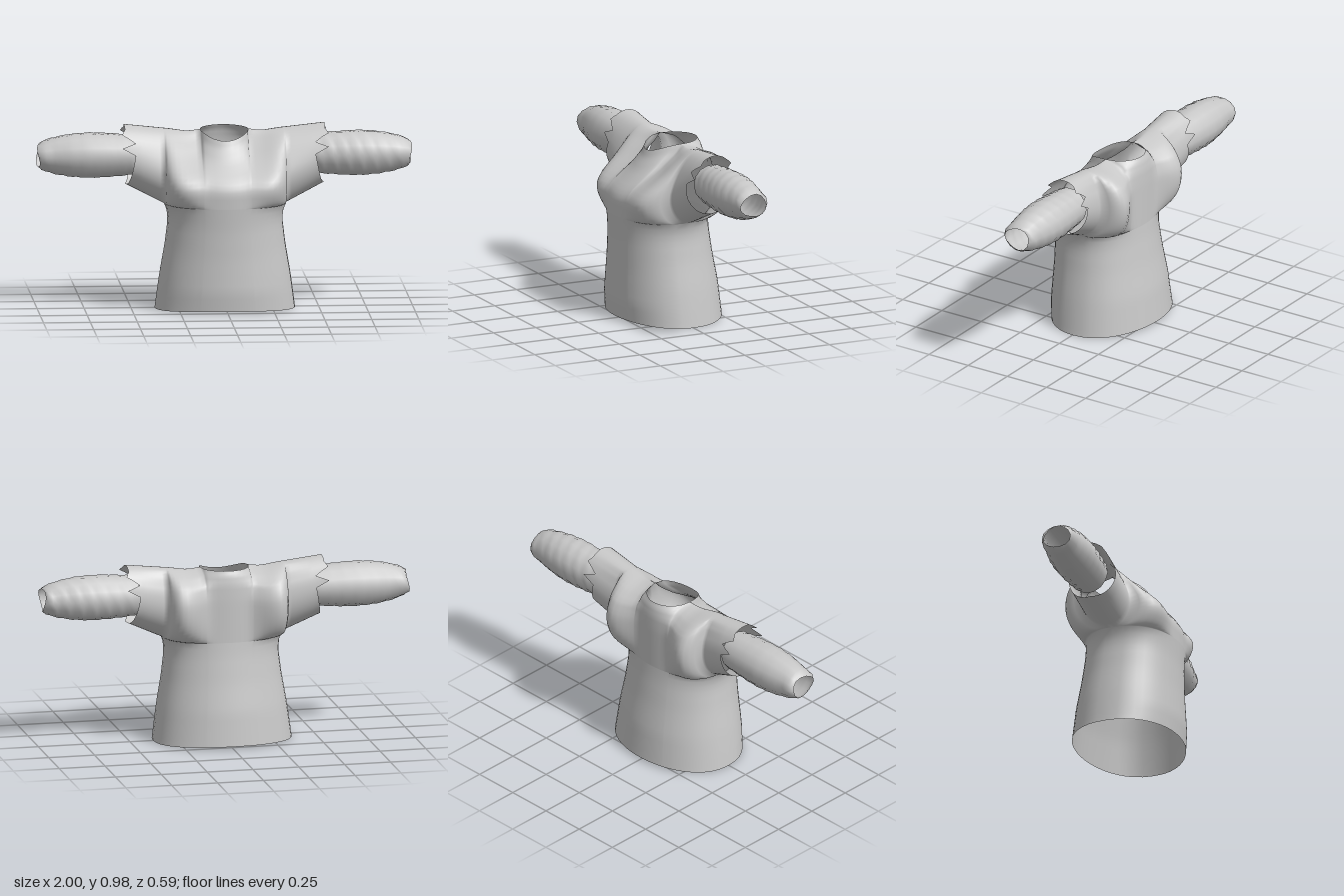
import * as THREE from 'three';
import { mergeGeometries, mergeVertices } from 'three/addons/utils/BufferGeometryUtils.js';

const { lerp, smoothstep } = THREE.MathUtils;

// Linear interpolation through [input, value] pairs
function key(keys, t) {
  if (t <= keys[0][0]) return keys[0][1];
  for (let i = 1; i < keys.length; i++) {
    const [a, va] = keys[i - 1], [b, vb] = keys[i];
    if (t <= b) return lerp(va, vb, (t - a) / (b - a));
  }
  return keys[keys.length - 1][1];
}

// Surface patch from point(i, j), i across and j up
function grid(nu, nv, point) {
  const pos = [], index = [];
  for (let j = 0; j <= nv; j++) for (let i = 0; i <= nu; i++) pos.push(...point(i, j));
  for (let j = 0; j < nv; j++) {
    for (let i = 0; i < nu; i++) {
      const a = j * (nu + 1) + i, b = a + 1, c = a + nu + 1, d = c + 1;
      index.push(a, b, d, a, d, c);
    }
  }
  const g = new THREE.BufferGeometry();
  g.setAttribute('position', new THREE.Float32BufferAttribute(pos, 3));
  g.setIndex(index);
  return g;
}

function weld(parts) {
  const g = mergeVertices(mergeGeometries(parts), 1e-4);
  g.computeVertexNormals();
  return g;
}

// Torso outline by height
const CHEST = 0.57, NECK = 0.13, ROWS = 24;
const WIDTH = [[0, 0.375], [0.1, 0.362], [0.2, 0.348], [0.35, 0.322], [0.48, 0.306], [0.53, 0.31], [CHEST, 0.325]];
const FRONT = [[0, 0.285], [0.12, 0.295], [0.3, 0.287], [0.45, 0.285], [CHEST, 0.29]];
const BACK = [[0, -0.297], [0.2, -0.275], [0.35, -0.247], [0.5, -0.225], [CHEST, -0.218]];
const CHEST_W = key(WIDTH, CHEST);

// Upper body: shoulder line, fall of the chest and back, and ragged sleeve hem
const SHOULDER = [[NECK, 0.955], [0.2, 0.946], [0.3, 0.96], [0.53, 0.985]];
const FRONT_FALL = [[0, 1], [0.22, 1], [0.32, 0.96], [0.42, 0.85], [0.68, 0.38], [0.88, 0.1], [1, 0]];
const BACK_FALL = [[0, 1], [0.6, 0.97], [0.8, 0.85], [0.93, 0.5], [1, 0]];
const HEM = [[0, 0.53], [13, 0.48], [14, 0.55], [16, 0.48], [18, 0.55], [20, 0.533], [24, 0.535]];

// Column positions, as fractions of the torso half width, then along the sleeve
const HALF = [0.1, 0.2, 0.28, 0.34, 0.38, 0.4, 0.48, 0.56, 0.65, 0.74, 0.82, 0.89, 0.95, 0.985, 1];
const SLEEVE = [0.35, 0.38, 0.41, 0.44, 0.465, 'hem'];
const mirrored = (list) => [...list.map((v, i) => [-1, list[list.length - 1 - i]]), [1, 0], ...list.map((v) => [1, v])];
const bodyCols = mirrored(HALF);
const upperCols = mirrored([...HALF.map((k) => k * CHEST_W), ...SLEEVE]);

function ringZ(k, y, isFront) {
  const c = 0.02 * y / CHEST;
  const round = Math.pow(Math.max(0, 1 - k * k), 0.46);
  return c + (key(isFront ? FRONT : BACK, y) - c) * round;
}

function lowerPoint([sign, k], t, isFront) {
  const y = lerp(0.02 - 0.015 * k * k, CHEST, t);
  return [sign * k * key(WIDTH, y), y, ringZ(k, y, isFront)];
}

function upperPoint([sign, col], j, isFront) {
  const x = col === 'hem' ? key(HEM, j) : col;
  const theta = Math.PI * j / ROWS;
  const v = (1 - Math.cos(theta)) / 2;
  const n = Math.min(1, x / NECK);
  const inNeck = x < NECK - 1e-6;
  // Neckline or shoulder crest
  const rim = isFront ? 0.91 + 0.045 * n * n : 0.958 - 0.003 * n * n;
  const top = inNeck ? rim : key(SHOULDER, x);
  const endZ = -0.05 + (inNeck ? (isFront ? 0.148 : -0.142) * Math.sqrt(1 - n * n) : 0);
  // Lower edge: chest ring, then the underarm
  const out = Math.max(0, x - CHEST_W) / (0.53 - CHEST_W);
  const bottom = CHEST + 0.1 * out;
  const startZ = out > 0 ? lerp(0.02, -0.03, out) : ringZ(Math.min(1, x / CHEST_W), CHEST, isFront);
  const bulge = smoothstep(x, 0.08, 0.33) * (isFront ? lerp(0.11, 0.125, out) : -lerp(0.175, 0.143, out));
  const fall = key(isFront ? FRONT_FALL : BACK_FALL, v);
  return [sign * x, lerp(bottom, top, v), endZ + (startZ - endZ) * fall + bulge * Math.sin(theta)];
}

function shirtGeometry() {
  const parts = [];
  for (const isFront of [true, false]) {
    const pick = (cols, i) => cols[isFront ? i : cols.length - 1 - i];
    parts.push(grid(bodyCols.length - 1, 16, (i, j) => lowerPoint(pick(bodyCols, i), j / 16, isFront)));
    parts.push(grid(upperCols.length - 1, ROWS, (i, j) => upperPoint(pick(upperCols, i), j, isFront)));
  }
  return weld(parts);
}

// Long undersleeve: a tapered, slightly rumpled tube open at both ends
const RADIUS = [[0.48, 0.105], [0.55, 0.112], [0.65, 0.119], [0.73, 0.121], [0.82, 0.114], [0.9, 0.1], [0.95, 0.085], [0.985, 0.07], [1, 0.06]];
function sleeveGeometry(side) {
  const sides = 14, rings = 22;
  return weld([grid(sides, rings, (i, j) => {
    const a = -side * (i % sides) / sides * Math.PI * 2;
    const x = lerp(0.48, 1, j / rings);
    const r = key(RADIUS, x) + 0.002 * Math.sin(j * 2.1 + 3 * a);
    const cuff = j === rings ? 0.008 * Math.sin(2 * a) - 0.008 : 0;
    return [side * (x + cuff), 0.82 + r * Math.sin(a), -0.055 + r * lerp(1, 1.25, smoothstep(x, 0.9, 1)) * Math.cos(a)];
  })]);
}

export function createModel() {
  const cloth = new THREE.MeshStandardMaterial({ color: 0xc8c8c8, side: THREE.DoubleSide });
  cloth.name = 'grey cloth';
  const model = new THREE.Group();
  model.name = 'layeredShirt';
  const add = (name, geometry) => {
    const mesh = new THREE.Mesh(geometry, cloth);
    mesh.name = name;
    model.add(mesh);
  };
  add('shirtBody', shirtGeometry());
  add('leftUndersleeve', sleeveGeometry(1));
  add('rightUndersleeve', sleeveGeometry(-1));
  return model;
}
